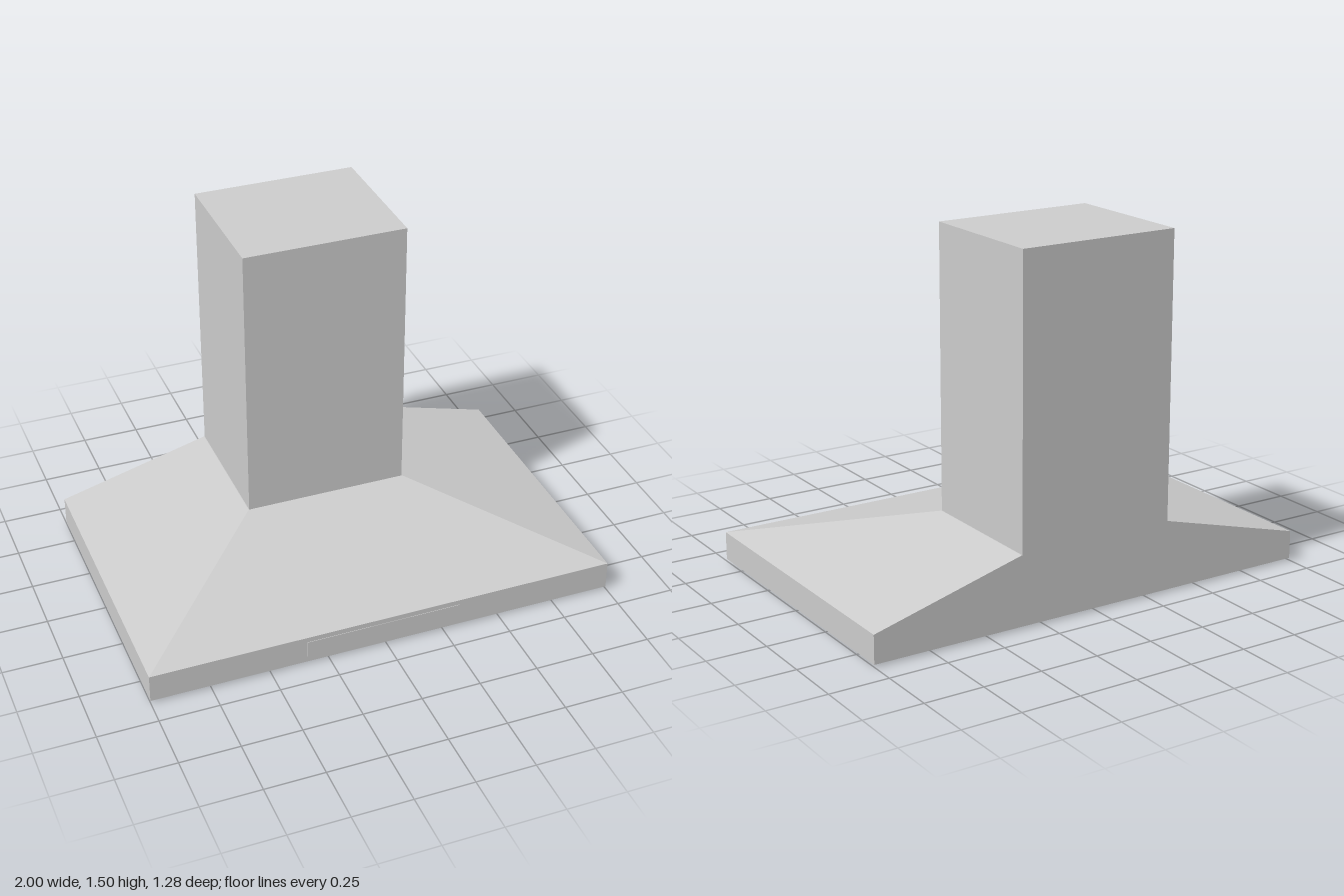
import * as THREE from 'three';
import { ConvexGeometry } from 'three/addons/geometries/ConvexGeometry.js';

const grey = new THREE.MeshStandardMaterial({ color: 0xcccccc });

function add(parent, name, geometry, x = 0, y = 0, z = 0) {
  const mesh = new THREE.Mesh(geometry, grey);
  mesh.name = name;
  mesh.position.set(x, y, z);
  parent.add(mesh);
  return mesh;
}

// Box given by its limits
function addBox(parent, name, x0, x1, y0, y1, z0, z1) {
  return add(parent, name, new THREE.BoxGeometry(x1 - x0, y1 - y0, z1 - z0),
    (x0 + x1) / 2, (y0 + y1) / 2, (z0 + z1) / 2);
}

// Rectangle in plan, as a shape or a hole
function rect(PathType, x0, x1, z0, z1) {
  return new PathType([[x0, z0], [x1, z0], [x1, z1], [x0, z1]].map(p => new THREE.Vector2(...p)));
}

// Slot with round ends in plan
function slot(x, z0, z1, r) {
  const path = new THREE.Path();
  path.absarc(x, z1 - r, r, 0, Math.PI, false);
  path.absarc(x, z0 + r, r, Math.PI, Math.PI * 2, false);
  path.closePath();
  return path;
}

// Horizontal plate from a plan shape, between heights y0 and y1
function plate(shape, y0, y1) {
  const g = new THREE.ExtrudeGeometry(shape, { depth: y1 - y0, bevelEnabled: false, curveSegments: 6 });
  return g.rotateX(Math.PI / 2).translate(0, y1, 0);
}

export function createModel() {
  const model = new THREE.Group();
  model.name = 'rangeHood';

  // Rim, open underneath for the filters
  const rim = rect(THREE.Shape, -1, 1, -0.638, 0.638);
  rim.holes.push(rect(THREE.Path, -0.955, 0.955, -0.61, 0.45));
  add(model, 'rim', plate(rim, 0.01, 0.13));

  // Sloping canopy, upright at the back
  const corners = [];
  for (const s of [-1, 1]) {
    for (const [x, y, z] of [[1, 0.13, 0.638], [1, 0.13, -0.638], [0.35, 0.305, -0.04], [0.35, 0.305, -0.638]]) {
      corners.push(new THREE.Vector3(s * x, y, z));
    }
  }
  add(model, 'canopy', new ConvexGeometry(corners));

  addBox(model, 'chimney', -0.347, 0.347, 0.3, 1.5, -0.638, -0.04);

  // Control panel on the front edge
  addBox(model, 'controlPanel', -0.345, 0.32, 0.035, 0.108, 0.62, 0.64);
  addBox(model, 'controlStrip', -0.245, 0.22, 0.029, 0.035, 0.62, 0.64);

  // Plate closing the recess above the filters
  addBox(model, 'recessTop', -0.955, 0.955, 0.075, 0.1, -0.61, 0.45);

  // Two slotted filters, each with a latch, and two lamps
  for (const s of [-1, 1]) {
    const filter = new THREE.Group();
    filter.name = s > 0 ? 'leftFilter' : 'rightFilter';
    model.add(filter);

    const cx = s * 0.505;
    const panel = rect(THREE.Shape, cx - 0.448, cx + 0.448, -0.605, 0.43);
    for (let i = 0; i < 8; i++) {
      const short = i === 3 || i === 4;
      panel.holes.push(slot(cx + (i - 3.5) * 0.108, -0.52, short ? 0.19 : 0.34, 0.015));
    }
    panel.holes.push(rect(THREE.Path, cx - 0.05, cx + 0.05, 0.25, 0.37));
    add(filter, 'slottedPanel', plate(panel, 0.035, 0.08));
    addBox(filter, 'latchPlate', cx - 0.05, cx + 0.05, 0.05, 0.07, 0.25, 0.37);
    addBox(filter, 'latchBar', cx - 0.05, cx + 0.05, 0.035, 0.05, 0.3, 0.32);

    // Lamp: a raised ring around a slightly sunken lens
    const ring = [[0.068, 0.012], [0.068, 0.002], [0.066, 0], [0.056, 0], [0.054, 0.005], [0.054, 0.012]]
      .map(p => new THREE.Vector2(...p)).reverse();
    const lampRing = add(model, 'lampRing', new THREE.LatheGeometry(ring, 40), s * 0.563, 0, 0.545);
    lampRing.material = new THREE.MeshStandardMaterial({ color: 0xcccccc, side: THREE.DoubleSide });
    add(model, 'lampLens', new THREE.CylinderGeometry(0.055, 0.055, 0.01, 40), s * 0.563, 0.009, 0.545);
  }
  return model;
}
